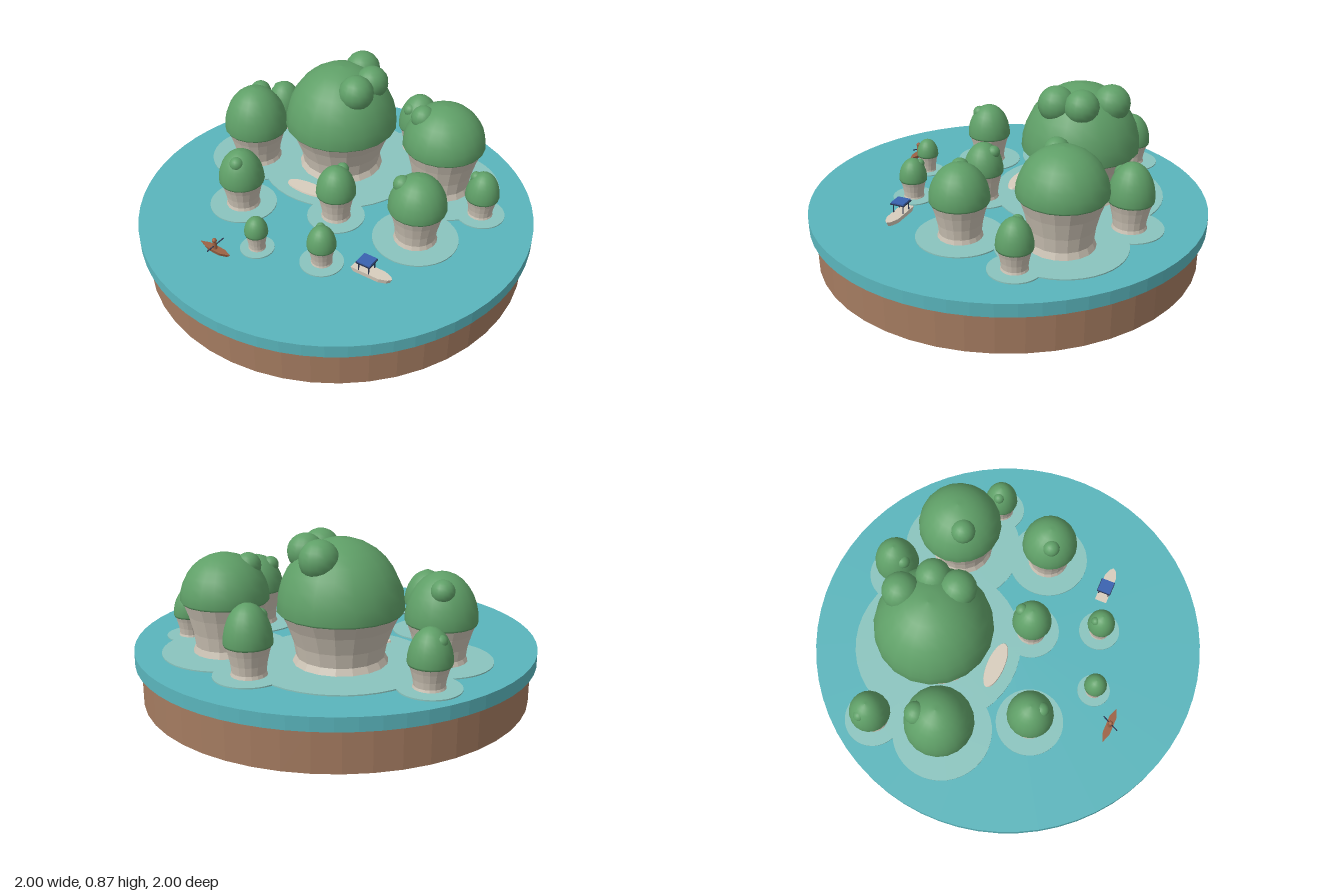
import * as THREE from 'three';

const mat = (name, color) => {
  const m = new THREE.MeshStandardMaterial({ color });
  m.name = name;
  return m;
};

// Faceted normals for the stone and the plinth
function facet(geo) {
  const g = geo.toNonIndexed();
  g.computeVertexNormals();
  return g;
}

// Hull outline in plan (x forward, y sideways), narrowed towards the keel
function hullGeometry(points, height, taper) {
  const shape = new THREE.Shape(points.map(([x, y]) => new THREE.Vector2(x, y)));
  const g = new THREE.ExtrudeGeometry(shape, { depth: height, bevelEnabled: false });
  g.rotateX(-Math.PI / 2);
  const p = g.attributes.position;
  for (let i = 0; i < p.count; i++) {
    if (p.getY(i) < height / 2) {
      p.setX(i, p.getX(i) * taper);
      p.setZ(i, p.getZ(i) * taper);
    }
  }
  g.computeVertexNormals();
  return g;
}

export function createModel() {
  const earth = mat('earth brown', 0xa47b60);
  const water = mat('lagoon blue', 0x5ab5bc);
  const shoal = mat('shallow water', 0x8ac4be);
  const stone = mat('limestone', 0xc9c0b2);
  const leaf = mat('jungle green', 0x5f9f67);
  const sand = mat('pale cream', 0xd8cdbd);
  const wood = mat('canoe wood', 0x9c6244);
  const blue = mat('awning blue', 0x3a62b0);
  const navy = mat('dark navy', 0x2a3450);

  const root = new THREE.Group();
  const add = (parent, name, geo, material, x = 0, y = 0, z = 0) => {
    const m = new THREE.Mesh(geo, material);
    m.name = name;
    m.position.set(x, y, z);
    parent.add(m);
    return m;
  };
  const group = (name, x, y, z, turn) => {
    const g = new THREE.Group();
    g.name = name;
    g.position.set(x, y, z);
    g.rotation.y = turn;
    root.add(g);
    return g;
  };

  // Plinth and sea
  const SEA = 0.265;
  add(root, 'plinth', facet(new THREE.CylinderGeometry(0.97, 0.97, 0.2, 48)), earth, 0, 0.1, 0);
  add(root, 'sea', facet(new THREE.CylinderGeometry(1, 1, 0.065, 64)), water, 0, 0.2325, 0);

  // Islands: x, z, cap radius, rim height, top height, shoal radius, bushes [x, y, z, r]
  const islands = [
    [-0.06, -0.36, 0.295, 0.52, 0.85, 0.43,
      [[0.02, 0.775, -0.5, 0.092], [0.1, 0.78, -0.355, 0.085], [0.045, 0.775, -0.235, 0.09]]],
    [-0.52, -0.305, 0.17, 0.46, 0.69, 0.25, [[-0.52, 0.62, -0.4, 0.056]]],
    [0.5, -0.27, 0.212, 0.525, 0.745, 0.31, [[0.39, 0.68, -0.24, 0.062]]],
    [0.445, 0.195, 0.142, 0.455, 0.63, 0.21, [[0.367, 0.578, 0.2, 0.043]]],
    [-0.455, 0.13, 0.115, 0.42, 0.585, 0.17, [[-0.455, 0.54, 0.182, 0.036]]],
    [0.03, 0.12, 0.1, 0.415, 0.56, 0.145, [[0.05, 0.52, 0.068, 0.032]]],
    [0.325, -0.59, 0.112, 0.42, 0.6, 0.165, [[0.28, 0.53, -0.545, 0.036]]],
    [-0.47, -0.655, 0.1, 0.385, 0.54, 0.145, [[-0.51, 0.485, -0.685, 0.031]]],
    [0.73, -0.07, 0.085, 0.38, 0.515, 0.123, [[0.69, 0.48, -0.08, 0.028]]],
    [-0.275, 0.45, 0.057, 0.365, 0.447, 0.083, [[-0.293, 0.42, 0.443, 0.018]]],
    [0.05, 0.475, 0.07, 0.37, 0.475, 0.105, [[0.037, 0.445, 0.44, 0.022]]],
  ];
  islands.forEach(([x, z, r, rim, top, shoalR, bushes], i) => {
    const g = new THREE.Group();
    g.name = 'island' + (i + 1);
    root.add(g);
    add(g, 'shoal', new THREE.CylinderGeometry(shoalR, shoalR, 0.006, 40), shoal, x, SEA + 0.003, z);

    // Undercut cliff with a spreading foot
    const h = rim - SEA;
    const cliff = [[0.77, 0], [0.7, 0.14], [0.74, 0.4], [0.84, 0.72], [0.96, 1]]
      .map(([k, t]) => new THREE.Vector2(k * r, t * h));
    add(g, 'cliff', facet(new THREE.LatheGeometry(cliff, 18)), stone, x, SEA, z);

    // Domed canopy, closed underneath
    const dome = [new THREE.Vector2(0, -0.01), new THREE.Vector2(r * 0.97, -0.01)];
    for (let k = 0; k <= 8; k++) {
      const a = (k / 8) * Math.PI / 2;
      dome.push(new THREE.Vector2(r * Math.cos(a), (top - rim) * Math.sin(a)));
    }
    add(g, 'canopy', new THREE.LatheGeometry(dome, 20), leaf, x, rim, z);
    bushes.forEach(([bx, by, bz, br]) =>
      add(g, 'bush', new THREE.SphereGeometry(br, 16, 12), leaf, bx, by, bz));
  });

  // Beach below the largest cliff
  const beach = add(root, 'beach', new THREE.CylinderGeometry(0.94, 1, 0.014, 32), sand, -0.165, SEA + 0.007, -0.055);
  beach.scale.set(0.13, 1, 0.047);
  beach.rotation.y = -0.34;

  // Canoe with paddler
  const canoe = group('canoe', -0.457, SEA + 0.006, 0.53, -0.38);
  add(canoe, 'canoeHull', hullGeometry(
    [[-0.095, 0], [-0.045, -0.018], [0.045, -0.018], [0.095, 0], [0.045, 0.018], [-0.045, 0.018]],
    0.02, 0.75), wood);
  add(canoe, 'paddlerBody', new THREE.CylinderGeometry(0.009, 0.012, 0.04, 10), wood, 0, 0.038, 0);
  add(canoe, 'paddlerHead', new THREE.SphereGeometry(0.012, 12, 8), wood, 0, 0.067, 0);
  const paddle = add(canoe, 'paddle', new THREE.CylinderGeometry(0.003, 0.003, 0.1, 6), navy, 0.004, 0.042, 0);
  paddle.rotation.set(-1.15, 0, -0.3);

  // Tour boat with awning
  const boat = group('tourBoat', 0.3, SEA + 0.006, 0.512, -0.35);
  add(boat, 'boatHull', hullGeometry(
    [[-0.1, -0.031], [0.05, -0.031], [0.09, -0.016], [0.105, 0], [0.09, 0.016], [0.05, 0.031], [-0.1, 0.031]],
    0.024, 0.88), sand);
  for (const sx of [-1, 1]) {
    for (const sz of [-1, 1]) {
      add(boat, 'awningPost', new THREE.CylinderGeometry(0.003, 0.003, 0.05, 6), navy,
        -0.032 + sx * 0.027, 0.047, sz * 0.026);
    }
  }
  add(boat, 'awningFrame', new THREE.BoxGeometry(0.076, 0.005, 0.074), navy, -0.032, 0.069, 0);
  add(boat, 'awning', new THREE.BoxGeometry(0.07, 0.007, 0.068), blue, -0.032, 0.075, 0);
  return root;
}
